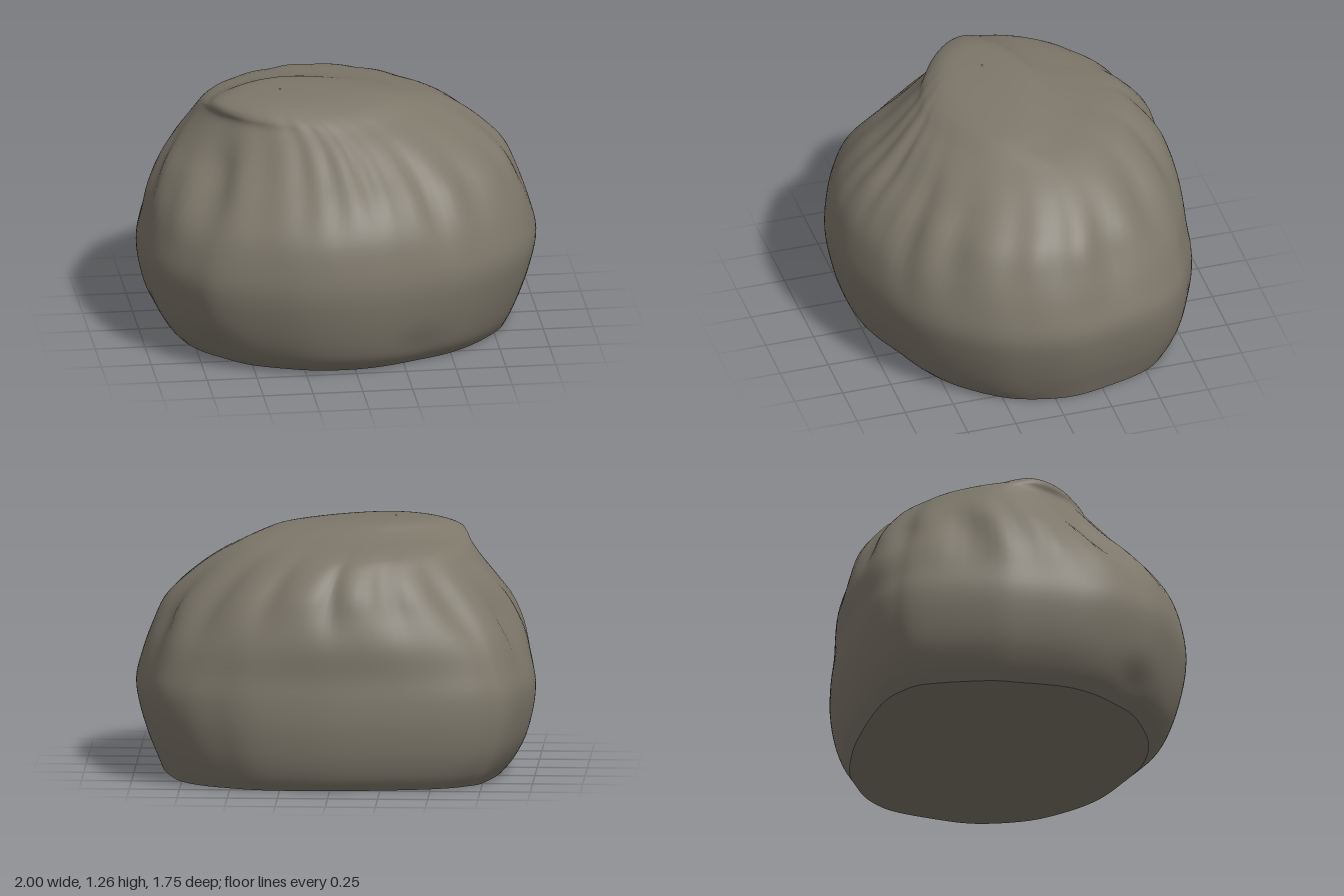
import * as THREE from 'three';

// Plan outline of the sack, front -> left -> back -> right, as x, z pairs
const OUTLINE = [
  [-0.2, 0.87], [0.02, 0.87], [0.23, 0.82], [0.5, 0.71], [0.7, 0.57], [0.88, 0.36], [0.96, 0.18],
  [1, -0.04], [0.97, -0.25], [0.88, -0.54], [0.74, -0.7], [0.57, -0.79], [0.4, -0.85], [0.14, -0.87],
  [-0.1, -0.86], [-0.45, -0.81], [-0.67, -0.75], [-0.8, -0.67], [-0.9, -0.55], [-0.99, -0.2],
  [-0.99, 0], [-0.95, 0.32], [-0.8, 0.57], [-0.67, 0.7], [-0.4, 0.82],
];

// Height, then min x, max x, min z, max z at that height
const LEVELS = [
  [0, -0.83, 0.86, -0.77, 0.69],
  [0.07, -0.89, 0.89, -0.815, 0.77],
  [0.18, -0.95, 0.935, -0.85, 0.82],
  [0.32, -0.988, 0.978, -0.868, 0.857],
  [0.45, -1.0, 0.998, -0.865, 0.874],
  [0.58, -0.978, 0.972, -0.852, 0.863],
  [0.73, -0.95, 0.93, -0.85, 0.825],
  [0.87, -0.89, 0.87, -0.82, 0.735],
  [0.98, -0.81, 0.76, -0.78, 0.62],
  [1.08, -0.73, 0.62, -0.7, 0.51],
  [1.15, -0.68, 0.48, -0.59, 0.42],
  [1.19, -0.65, 0.37, -0.36, 0.37],
  [1.22, -0.62, 0.27, -0.24, 0.32],
  [1.245, -0.55, 0.08, -0.18, 0.26],
  [1.258, -0.46, -0.12, -0.1, 0.18],
  [1.262, -0.3, -0.29, 0.03, 0.04],
];

// Folds: angle from the front in degrees, depth, angular width, mid height, height spread
const FOLDS = [
  [-58, 0.1, 10, 0.9, 0.17], [-38, 0.03, 6, 0.95, 0.2], [-22, 0.03, 5, 1.0, 0.2],
  [-9, 0.03, 4, 1.0, 0.2], [8, 0.045, 4, 1.0, 0.17], [20, 0.03, 4, 0.95, 0.18],
  [33, 0.06, 5, 0.88, 0.2], [52, 0.05, 6, 0.85, 0.18], [72, 0.03, 6, 0.9, 0.2],
  [88, 0.04, 7, 0.9, 0.2], [108, 0.05, 6, 0.85, 0.2], [128, 0.06, 7, 0.95, 0.2],
  [150, 0.05, 6, 1.0, 0.17], [178, 0.06, 7, 1.0, 0.17], [205, 0.05, 6, 1.0, 0.18],
  [228, 0.04, 6, 0.92, 0.18], [251, 0.06, 6, 0.82, 0.18], [268, 0.025, 5, 0.85, 0.2],
  [286, 0.03, 6, 0.8, 0.2], [-50, 0.04, 7, 0.08, 0.1], [25, 0.02, 9, 0.1, 0.1],
];

const bell = (d, w) => Math.exp(-((d / w) ** 2));
const soften = (v) => Math.sign(v) * Math.abs(v) ** 1.15;

// Radial shrink caused by every fold at one angle and height
function foldScale(angle, y) {
  let s = 1;
  for (const [a, depth, width, mid, spread] of FOLDS) {
    const d = THREE.MathUtils.euclideanModulo(angle - a + 180, 360) - 180;
    // folds lean a little as they run down
    s -= depth * bell(d + (y - mid) * 12, width) * bell(y - mid, spread);
  }
  return s;
}

function makeGeometry(positions, indices) {
  const g = new THREE.BufferGeometry();
  g.setAttribute('position', new THREE.Float32BufferAttribute(positions, 3));
  g.setIndex(indices);
  g.computeVertexNormals();
  return g;
}

export function createModel() {
  const group = new THREE.Group();
  group.name = 'sack';
  const cloth = new THREE.MeshStandardMaterial({ color: 0x7d776a });
  cloth.name = 'grey brown cloth';

  const SEG = 144, ROWS = 60;
  const curve = (pts, closed) => new THREE.CatmullRomCurve3(pts, closed, 'catmullrom', 0.5);
  const outline = curve(OUTLINE.map(([x, z]) => new THREE.Vector3(x, 0, z)), true);
  const xs = curve(LEVELS.map((l) => new THREE.Vector3(l[1], l[0], l[2])), false);
  const zs = curve(LEVELS.map((l) => new THREE.Vector3(l[3], l[0], l[4])), false);

  // Body: stacked rings fitted to the extents at each height
  const pos = [], idx = [];
  for (let j = 0; j <= ROWS; j++) {
    const ex = xs.getPoint(j / ROWS), ez = zs.getPoint(j / ROWS);
    const cx = (ex.x + ex.z) / 2, hx = (ex.z - ex.x) / 2;
    const cz = (ez.x + ez.z) / 2, hz = (ez.z - ez.x) / 2;
    // corners of the plan round off towards the top
    const round = THREE.MathUtils.smoothstep(ex.y, 0.45, 1.2);
    for (let i = 0; i < SEG; i++) {
      const p = outline.getPoint(i / SEG);
      const a = Math.atan2(p.x, p.z / 0.872);
      const px = THREE.MathUtils.lerp(p.x, soften(Math.sin(a)), round);
      const pz = THREE.MathUtils.lerp(p.z / 0.872, soften(Math.cos(a)), round);
      const s = foldScale(THREE.MathUtils.radToDeg(Math.atan2(p.x, p.z)), ex.y);
      pos.push(cx + px * hx * s, Math.max(0, ex.y), cz + pz * hz * s);
      if (j < ROWS) {
        const v = j * SEG + i, w = j * SEG + ((i + 1) % SEG);
        idx.push(v, w, w + SEG, v, w + SEG, v + SEG);
      }
    }
  }
  const body = new THREE.Mesh(makeGeometry(pos, idx), cloth);
  body.name = 'sackBody';

  // Flat underside, sharing the lowest ring
  const basePos = [...pos.slice(0, SEG * 3), 0, 0, 0], baseIdx = [];
  for (let i = 0; i < SEG; i++) baseIdx.push(SEG, (i + 1) % SEG, i);
  const base = new THREE.Mesh(makeGeometry(basePos, baseIdx), cloth);
  base.name = 'flatBase';

  group.add(body, base);
  return group;
}
